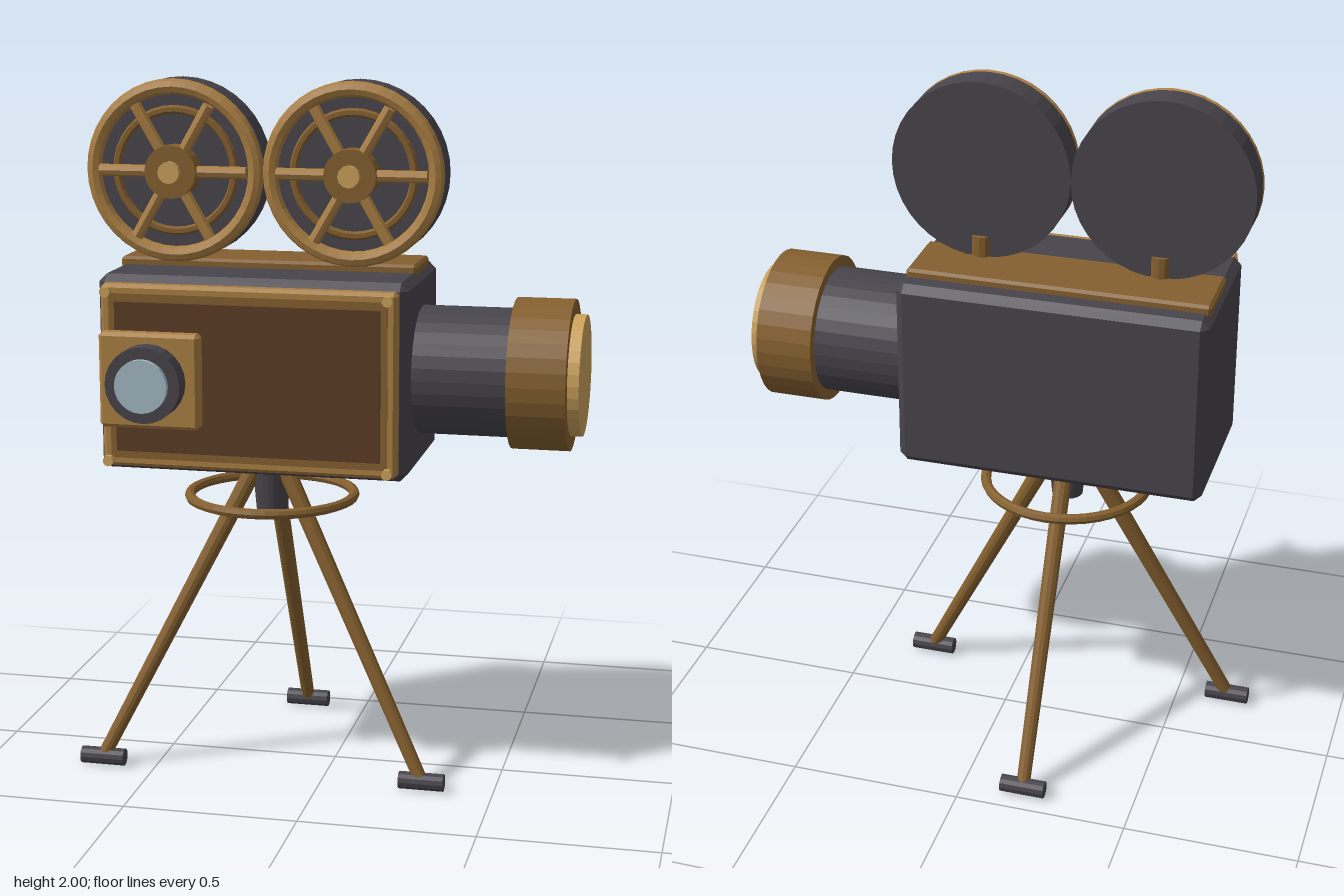
import * as THREE from 'three';
import { ConvexGeometry } from 'three/addons/geometries/ConvexGeometry.js';

const material = (name, color) => {
  const m = new THREE.MeshStandardMaterial({ color, flatShading: true });
  m.name = name;
  return m;
};

export function createModel() {
  const iron = material('dark iron', 0x47444b);
  const brown = material('aged brass', 0x85602f);
  const brass = material('brass', 0xab7f42);
  const pale = material('pale brass', 0xcba25c);
  const leather = material('brown leather', 0x5c3c24);
  const glass = material('lens glass', 0xa3bac4);

  const model = new THREE.Group();
  model.name = 'movieCamera';

  const add = (parent, name, geometry, mat, x = 0, y = 0, z = 0) => {
    const mesh = new THREE.Mesh(geometry, mat);
    mesh.name = name;
    mesh.position.set(x, y, z);
    parent.add(mesh);
    return mesh;
  };

  // Box with every edge cut at 45 degrees
  const chamferBox = (w, h, d, c) => {
    const points = [];
    for (const sx of [-1, 1]) for (const sy of [-1, 1]) for (const sz of [-1, 1]) {
      const [x, y, z] = [w / 2, h / 2, d / 2];
      points.push(
        new THREE.Vector3(sx * x, sy * (y - c), sz * (z - c)),
        new THREE.Vector3(sx * (x - c), sy * y, sz * (z - c)),
        new THREE.Vector3(sx * (x - c), sy * (y - c), sz * z));
    }
    return new ConvexGeometry(points);
  };

  // Cylinders lying along z or x, given by their two end positions
  const cylZ = (r, z0, z1, sides = 32) =>
    new THREE.CylinderGeometry(r, r, z1 - z0, sides).rotateX(Math.PI / 2).translate(0, 0, (z0 + z1) / 2);
  const cylX = (r, x0, x1, sides = 32) =>
    new THREE.CylinderGeometry(r, r, x1 - x0, sides).rotateZ(Math.PI / 2).translate((x0 + x1) / 2, 0, 0);

  // Tapered rod between two points
  const rod = (a, b, ra, rb, sides = 12) => {
    const dir = b.clone().sub(a);
    const g = new THREE.CylinderGeometry(rb, ra, dir.length(), sides);
    g.applyQuaternion(new THREE.Quaternion().setFromUnitVectors(new THREE.Vector3(0, 1, 0), dir.normalize()));
    const mid = a.clone().add(b).multiplyScalar(0.5);
    return g.translate(mid.x, mid.y, mid.z);
  };

  const cx = -0.18, cy = 1.193, cz = 0.032;

  // Body and top plate
  add(model, 'body', chamferBox(0.876, 0.552, 0.472, 0.022), iron, cx, cy, cz);
  add(model, 'topPlate', chamferBox(0.856, 0.035, 0.206, 0.008), brown, cx - 0.003, 1.474, -0.035);

  // Front door with raised leather panel and corner screws
  add(model, 'doorFrame', chamferBox(0.834, 0.514, 0.046, 0.01), brass, cx, cy, 0.289);
  add(model, 'doorInset', new THREE.BoxGeometry(0.784, 0.464, 0.004), brown, cx, cy, 0.3125);
  add(model, 'doorPanel', new THREE.BoxGeometry(0.746, 0.42, 0.02), leather, cx, cy, 0.314);
  for (const sx of [-1, 1]) for (const sy of [-1, 1])
    add(model, 'doorScrew', cylZ(0.015, 0.322, 0.34, 10), pale, cx + sx * 0.395, cy + sy * 0.238, 0);

  // Small front lens
  add(model, 'lensPlate', chamferBox(0.284, 0.266, 0.05, 0.01), brass, -0.443, cy, 0.349);
  add(model, 'smallLensBarrel', cylZ(0.106, 0.37, 0.432, 24), iron, -0.443, cy, 0);
  add(model, 'smallLensGlass', cylZ(0.074, 0.43, 0.449, 24), glass, -0.443, cy, 0);

  // Main lens on the left side
  add(model, 'mainLensBarrel', cylX(0.181, 0.24, 0.53), iron, 0, cy, cz);
  add(model, 'mainLensHood', cylX(0.212, 0.522, 0.685), brown, 0, cy, cz);
  add(model, 'mainLensCap', cylX(0.17, 0.68, 0.717), pale, 0, cy, cz);

  // Two film reels
  for (const x of [-0.437, 0.073]) {
    const reel = new THREE.Group();
    reel.name = 'filmReel';
    reel.position.set(x, 1.743, 0);
    model.add(reel);
    add(reel, 'reelDrum', cylZ(0.255, 0.006, 0.092, 40), iron);
    add(reel, 'reelRim', new THREE.TorusGeometry(0.234, 0.022, 8, 40), brass, 0, 0, 0.106);
    add(reel, 'reelInnerRing', new THREE.TorusGeometry(0.17, 0.012, 6, 36), brown, 0, 0, 0.097);
    for (let i = 0; i < 6; i++) {
      const a = i * Math.PI / 3;
      add(reel, 'reelSpoke', rod(
        new THREE.Vector3(Math.cos(a) * 0.05, Math.sin(a) * 0.05, 0.126),
        new THREE.Vector3(Math.cos(a) * 0.212, Math.sin(a) * 0.212, 0.126), 0.017, 0.017, 8), brass);
    }
    add(reel, 'reelHub', cylZ(0.074, 0.09, 0.154, 20), brown);
    add(reel, 'reelKnob', cylZ(0.031, 0.15, 0.172, 12), pale);
    add(reel, 'reelPost', new THREE.CylinderGeometry(0.03, 0.03, 0.08, 12), brown, 0, -0.232, 0.022);
  }

  // Tripod head and brace ring
  add(model, 'tripodHead', new THREE.CylinderGeometry(0.06, 0.045, 0.17, 20), iron, cx, 0.845, cz);
  const ring = add(model, 'braceRing', new THREE.TorusGeometry(0.238, 0.015, 8, 40), brown, cx, 0.807, cz);
  ring.rotation.x = Math.PI / 2;

  // Tripod legs with crosswise feet: [top x, top z, foot x, foot z]
  const legs = [
    [-0.05, 0.055, -0.475, 0.199],
    [0.05, 0.055, 0.475, 0.199],
    [0, 0.005, 0, -0.427],
  ];
  for (const [tx, tz, fx, fz] of legs) {
    add(model, 'tripodLeg', rod(
      new THREE.Vector3(cx + fx, 0.025, fz),
      new THREE.Vector3(cx + tx, 0.88, tz), 0.02, 0.026), brown);
    add(model, 'tripodFoot', cylX(0.025, -0.065, 0.065, 12), iron, cx + fx, 0.025, fz);
  }

  return model;
}
